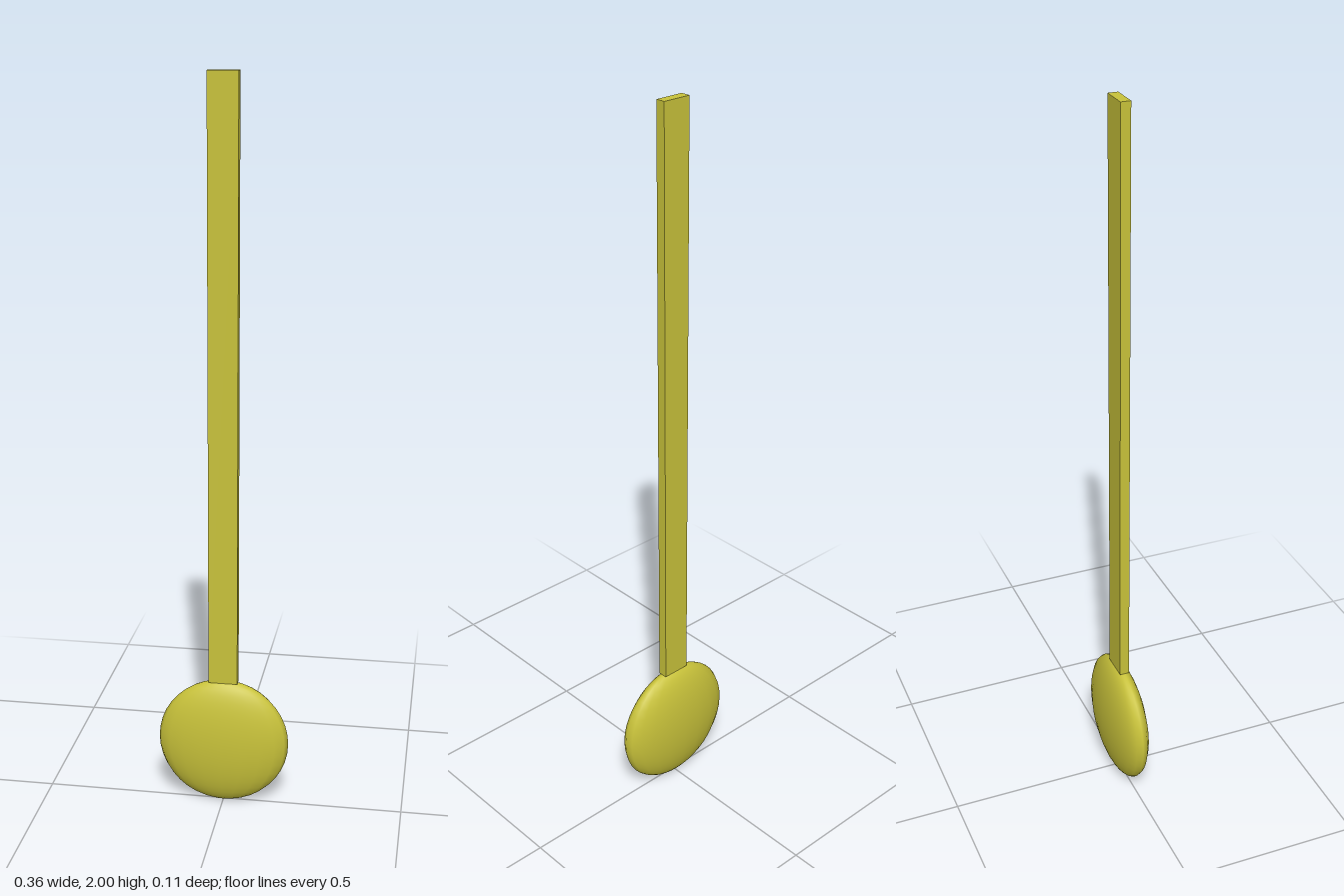
import * as THREE from 'three';

export function createModel() {
  const model = new THREE.Group();
  model.name = 'pendulum';
  const brass = new THREE.MeshStandardMaterial({ color: 0xc8c23a });
  const radius = 0.182, halfDepth = 0.053, rodBottom = 0.36, top = 2;

  // Flattened disc-like weight
  const bobGeometry = new THREE.SphereGeometry(radius, 20, 20);
  bobGeometry.scale(1, 1, halfDepth / radius);
  const bob = new THREE.Mesh(bobGeometry, brass);
  bob.name = 'bob';
  bob.position.y = radius;

  // Flat rod standing on the weight
  const rod = new THREE.Mesh(new THREE.BoxGeometry(0.08, top - rodBottom, 0.027), brass);
  rod.name = 'rod';
  rod.position.y = (top + rodBottom) / 2;

  model.add(bob, rod);
  return model;
}
